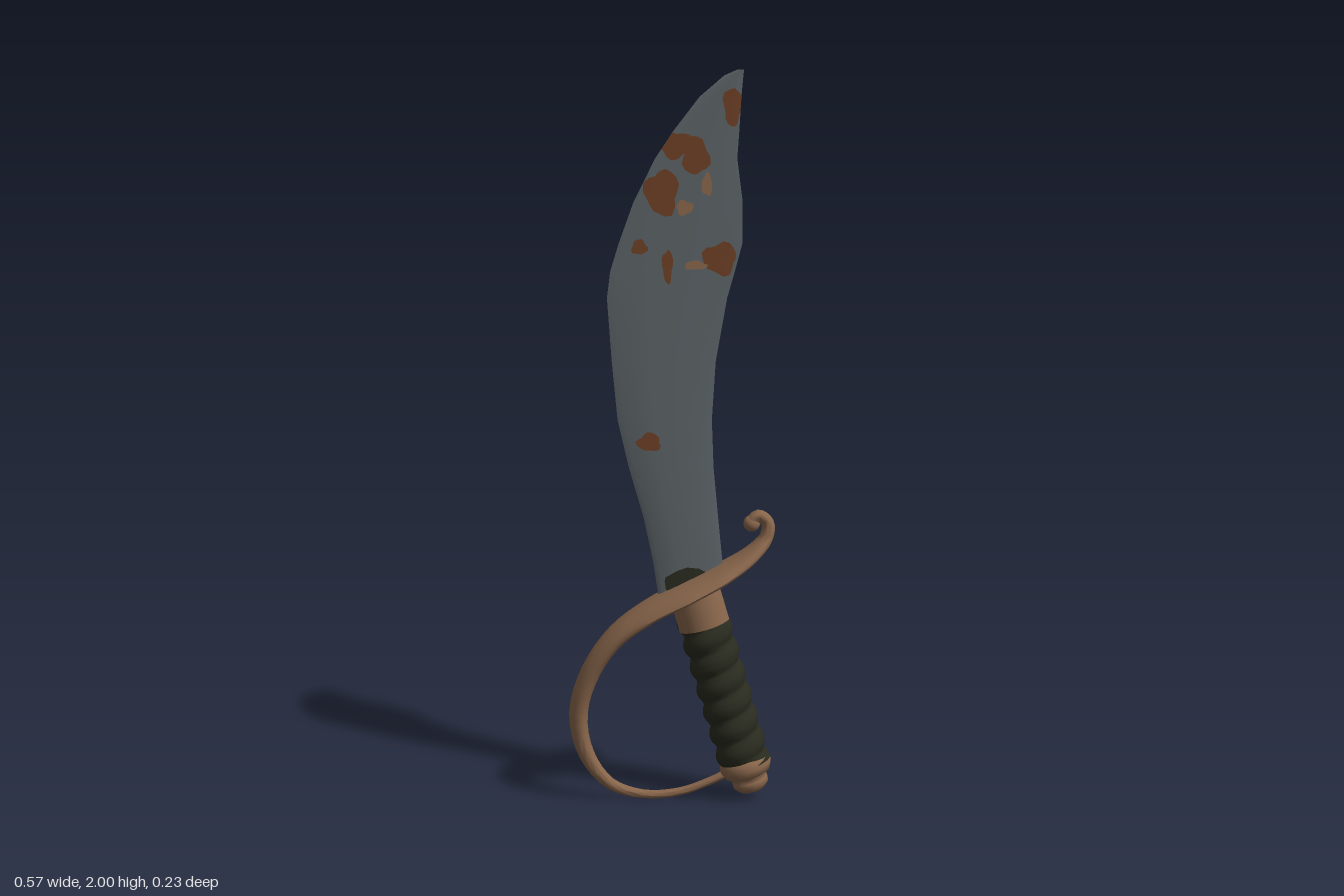
import * as THREE from 'three';
import { toCreasedNormals } from 'three/addons/utils/BufferGeometryUtils.js';

const material = (name, color, side = THREE.FrontSide) => {
  const m = new THREE.MeshStandardMaterial({ color, side });
  m.name = name;
  return m;
};

// Skin a list of closed loops and cap both ends.
function loft(rings, crease) {
  const n = rings[0].length, pos = [], index = [];
  rings.forEach(r => r.forEach(p => pos.push(p.x, p.y, p.z)));
  for (let i = 0; i < rings.length - 1; i++) {
    for (let j = 0; j < n; j++) {
      const a = i * n + j, b = i * n + (j + 1) % n;
      index.push(a, a + n, b, b, a + n, b + n);
    }
  }
  const last = (rings.length - 1) * n;
  for (let j = 1; j < n - 1; j++) {
    index.push(0, j, j + 1, last, last + j + 1, last + j);
  }
  const g = new THREE.BufferGeometry();
  g.setAttribute('position', new THREE.Float32BufferAttribute(pos, 3));
  g.setIndex(index);
  return toCreasedNormals(g, crease);
}

// Blade outline: height, cutting edge x, spine x.
const OUTLINE = [
  [0.50, -0.03, 0.14], [0.68, -0.05, 0.14], [0.80, -0.075, 0.128], [0.94, -0.115, 0.115],
  [1.07, -0.145, 0.11], [1.23, -0.16, 0.12], [1.40, -0.172, 0.15], [1.47, -0.163, 0.17],
  [1.545, -0.14, 0.19], [1.655, -0.10, 0.19], [1.77, -0.042, 0.175], [1.84, 0.005, 0.18],
  [1.93, 0.075, 0.185], [1.985, 0.14, 0.19], [2.0, 0.175, 0.192],
];
// Blade section: position across, share of the full thickness.
const SECTION = [[0, 0.05], [0.07, 0.6], [0.35, 0.92], [0.6, 1], [0.9, 0.75], [1, 0.3]];

const lerp = THREE.MathUtils.lerp;
function sample(table, v) {
  let i = 0;
  while (i < table.length - 2 && v > table[i + 1][0]) i++;
  const t = THREE.MathUtils.clamp((v - table[i][0]) / (table[i + 1][0] - table[i][0]), 0, 1);
  return table[i].map((a, k) => lerp(a, table[i + 1][k], t));
}
const thickness = y => 0.0125 - 0.006 * (y - 0.6);

function bladeGeometry() {
  const rings = OUTLINE.map(([y, l, r]) => {
    const point = side => ([u, s]) => {
      const x = lerp(l, r, u);
      return new THREE.Vector3(x, Math.max(y, 0.565 + 0.55 * x), side * s * thickness(y));
    };
    return [...SECTION.slice().reverse().map(point(1)), ...SECTION.map(point(-1))];
  });
  return loft(rings, 0.5);
}

// Irregular stain lying on one face of the blade.
function stainGeometry(side, cx, cy, rx, ry) {
  const g = new THREE.RingGeometry(0.001, 1, 18, 4);
  const p = g.attributes.position;
  for (let i = 0; i < p.count; i++) {
    const a = Math.atan2(p.getY(i), p.getX(i));
    const k = 1 + 0.13 * Math.sin(3 * a + cx * 40) + 0.08 * Math.sin(5 * a + cy * 30);
    const y = Math.min(cy + p.getY(i) * ry * k, 1.992);
    const [, l, r] = sample(OUTLINE, y);
    const x = THREE.MathUtils.clamp(cx + side * p.getX(i) * rx * k, l, r);
    const s = sample(SECTION, (x - l) / (r - l))[1];
    p.setXYZ(i, x, y, side * (s * thickness(y) + 0.0018));
  }
  g.computeVertexNormals();
  return g;
}

// Guard and knuckle bow: x, y, half width, half thickness.
const GUARD = [
  [0.215, 0.78, 0.02, 0.018], [0.238, 0.803, 0.02, 0.018], [0.263, 0.785, 0.021, 0.018],
  [0.26, 0.745, 0.03, 0.019], [0.22, 0.70, 0.062, 0.021], [0.14, 0.65, 0.10, 0.022],
  [0.04, 0.60, 0.115, 0.022], [-0.06, 0.545, 0.1, 0.024], [-0.15, 0.475, 0.077, 0.026],
  [-0.22, 0.375, 0.055, 0.027], [-0.257, 0.25, 0.036, 0.026], [-0.235, 0.13, 0.023, 0.022],
  [-0.17, 0.045, 0.016, 0.016], [-0.08, 0.014, 0.013, 0.012], [0.02, 0.019, 0.012, 0.011],
  [0.11, 0.05, 0.012, 0.011], [0.19, 0.09, 0.012, 0.011],
];

function guardGeometry() {
  const path = new THREE.CatmullRomCurve3(GUARD.map(([x, y]) => new THREE.Vector3(x, y, 0)));
  const rings = [], steps = 64, sides = 20;
  for (let i = 0; i <= steps; i++) {
    const t = i / steps, c = path.getPoint(t), d = path.getTangent(t);
    const f = t * (GUARD.length - 1), k = Math.min(Math.floor(f), GUARD.length - 2);
    const w = lerp(GUARD[k][2], GUARD[k + 1][2], f - k);
    const h = lerp(GUARD[k][3], GUARD[k + 1][3], f - k);
    const ring = [];
    for (let j = 0; j < sides; j++) {
      const a = j / sides * Math.PI * 2;
      // the wide rim bends a little towards the grip
      const q = h * Math.sin(a) + 0.13 * w * Math.cos(a) ** 2;
      ring.push(new THREE.Vector3(c.x - d.y * q, c.y + d.x * q, w * Math.cos(a)));
    }
    rings.push(ring);
  }
  return loft(rings, 1.1);
}

// Grip wrapped in a spiral of cord.
function gripGeometry() {
  const rings = [], steps = 64, sides = 24;
  for (let i = 0; i <= steps; i++) {
    const y = lerp(0.035, 0.55, i / steps), ring = [];
    for (let j = 0; j < sides; j++) {
      const a = j / sides * Math.PI * 2;
      const r = 0.062 + 0.012 * Math.abs(Math.sin(Math.PI * y / 0.066 + a / 2));
      ring.push(new THREE.Vector3(r * Math.cos(a), y, r * Math.sin(a)));
    }
    rings.push(ring);
  }
  return loft(rings, 0.9);
}

export function createModel() {
  const steel = material('steel', 0x5c6367);
  const bronze = material('bronze', 0x8a674c, THREE.DoubleSide);
  const rust = material('rust', 0x6e4026);
  const wrap = material('dark wrap', 0x2a2b1f);

  const model = new THREE.Group();
  const add = (parent, name, geometry, mat) => {
    const mesh = new THREE.Mesh(geometry, mat);
    mesh.name = name;
    parent.add(mesh);
    return mesh;
  };

  add(model, 'blade', bladeGeometry(), steel);

  // Stains: side, centre x, centre y, half width, half height, material.
  const stains = new THREE.Group();
  stains.name = 'bladeStains';
  model.add(stains);
  [
    [1, 0.162, 1.905, 0.025, 0.05, rust], [1, 0.01, 1.805, 0.045, 0.035, rust],
    [1, 0.065, 1.775, 0.035, 0.05, rust], [1, -0.025, 1.68, 0.045, 0.06, rust],
    [1, -0.085, 1.535, 0.021, 0.02, rust], [1, -0.01, 1.485, 0.014, 0.045, rust],
    [1, 0.13, 1.505, 0.045, 0.043, rust], [1, -0.06, 1.01, 0.032, 0.025, rust],
    [1, 0.035, 1.64, 0.022, 0.02, bronze], [1, 0.095, 1.70, 0.014, 0.03, bronze],
    [1, 0.065, 1.487, 0.03, 0.012, bronze], [1, 0.06, 0.625, 0.085, 0.033, wrap],
    [-1, 0.15, 1.91, 0.04, 0.085, rust], [-1, 0.05, 1.69, 0.02, 0.03, rust],
    [-1, 0.0, 1.60, 0.026, 0.045, rust], [-1, -0.02, 1.40, 0.065, 0.06, rust],
    [-1, -0.07, 0.93, 0.032, 0.038, rust], [-1, 0.10, 0.67, 0.035, 0.035, rust],
  ].forEach(([side, x, y, rx, ry, mat]) => add(stains, 'stain', stainGeometry(side, x, y, rx, ry), mat));

  add(model, 'guard', guardGeometry(), bronze);
  add(model, 'guardCurl', new THREE.SphereGeometry(0.023, 16, 12), bronze).position.set(0.22, 0.783, 0);

  // Tilted handle
  const handle = new THREE.Group();
  handle.name = 'handle';
  handle.position.set(0.215, 0.07, 0);
  handle.rotation.z = 0.28;
  model.add(handle);
  add(handle, 'grip', gripGeometry(), wrap);
  // bare patch at the front of the grip top
  add(handle, 'collarPatch', new THREE.CylinderGeometry(0.075, 0.0755, 0.09, 16, 1, true, -1.2, 2.4), bronze)
    .position.y = 0.495;
  const pommel = [
    [0, -0.05], [0.035, -0.045], [0.05, -0.03], [0.05, -0.015], [0.042, -0.004],
    [0.064, 0.005], [0.073, 0.025], [0.07, 0.045], [0.058, 0.055],
  ].map(([x, y]) => new THREE.Vector2(x, y));
  add(handle, 'pommel', new THREE.LatheGeometry(pommel, 24), bronze);

  return model;
}
